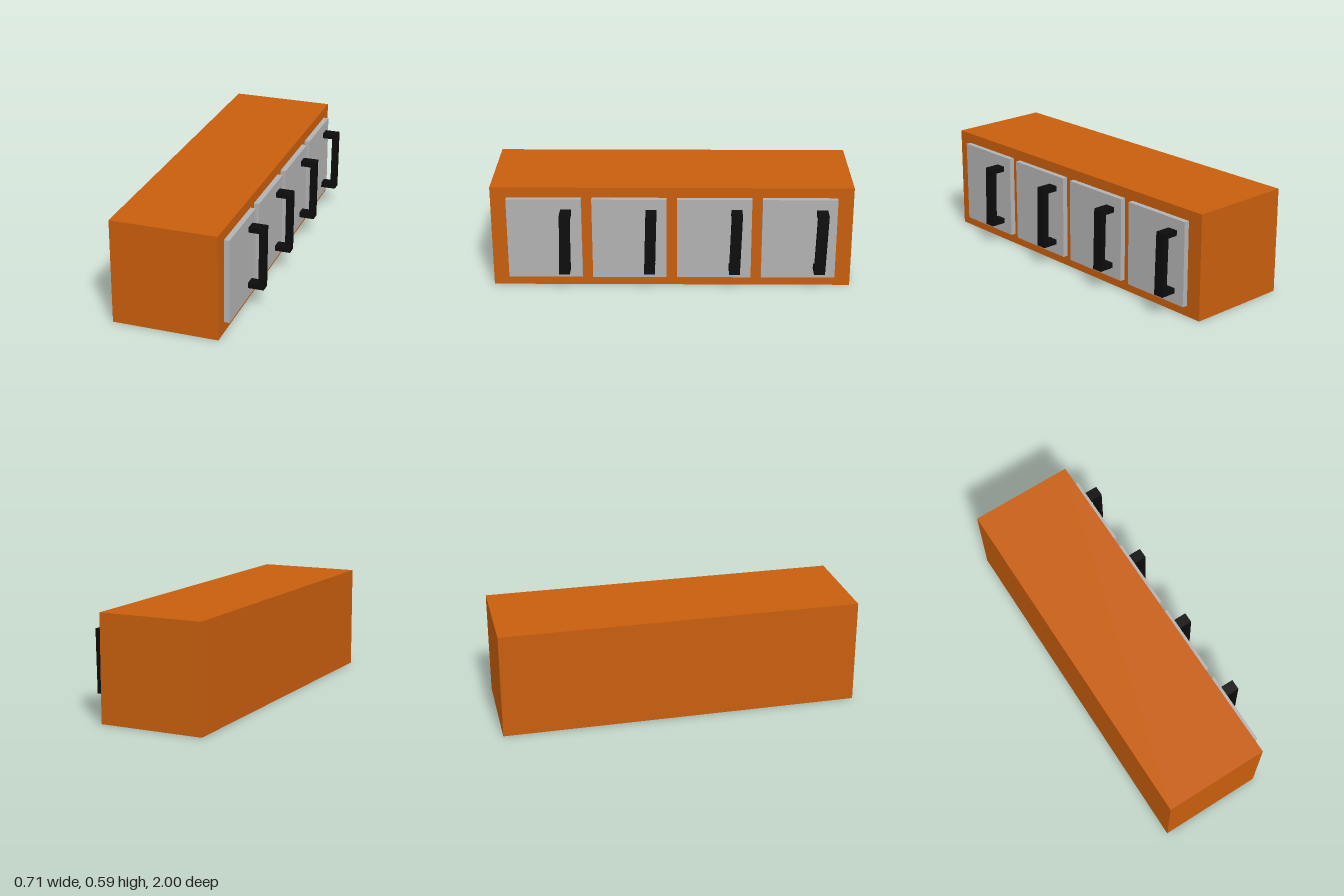
import * as THREE from 'three';

const orange = new THREE.MeshStandardMaterial({ name: 'orange cabinet', color: 0xc85e0d });
const grey = new THREE.MeshStandardMaterial({ name: 'grey door', color: 0xb2b2b2 });
const black = new THREE.MeshStandardMaterial({ name: 'black handle', color: 0x0c0c0c });

// Box given by its minimum and maximum corners
function box(name, min, max, material) {
  const size = max.map((v, i) => v - min[i]);
  const mesh = new THREE.Mesh(new THREE.BoxGeometry(...size), material);
  mesh.position.set(...max.map((v, i) => (v + min[i]) / 2));
  mesh.name = name;
  return mesh;
}

// Square C-shaped pull, leaning very slightly along z
function handleGeometry() {
  const outline = [
    [0.264, 0.118], [0.353, 0.118], [0.353, 0.471], [0.264, 0.471],
    [0.264, 0.441], [0.323, 0.441], [0.323, 0.148], [0.264, 0.148],
  ].map(([x, y]) => new THREE.Vector2(x, y));
  const width = 0.06;
  const geometry = new THREE.ExtrudeGeometry(new THREE.Shape(outline), { depth: width, bevelEnabled: false });
  geometry.translate(0, 0, -width / 2);
  const p = geometry.attributes.position;
  for (let i = 0; i < p.count; i++) p.setZ(i, p.getZ(i) - 0.028 * (p.getY(i) - 0.294));
  geometry.computeVertexNormals();
  return geometry;
}

export function createModel() {
  const model = new THREE.Group();
  model.name = 'wallCabinet';
  model.add(box('cabinetBody', [-0.353, 0, -1], [0.235, 0.588, 1], orange));

  // Four doors in a row, each with a handle off to one side
  const pull = handleGeometry();
  for (let i = 0; i < 4; i++) {
    const z = 0.705 - i * 0.47;
    const unit = new THREE.Group();
    unit.name = `doorUnit${i + 1}`;
    unit.position.z = z;
    unit.add(box('door', [0.235, 0.06, -0.206], [0.265, 0.53, 0.206], grey));
    const handle = new THREE.Mesh(pull, black);
    handle.name = 'handle';
    handle.position.z = -0.117;
    unit.add(handle);
    model.add(unit);
  }
  return model;
}
